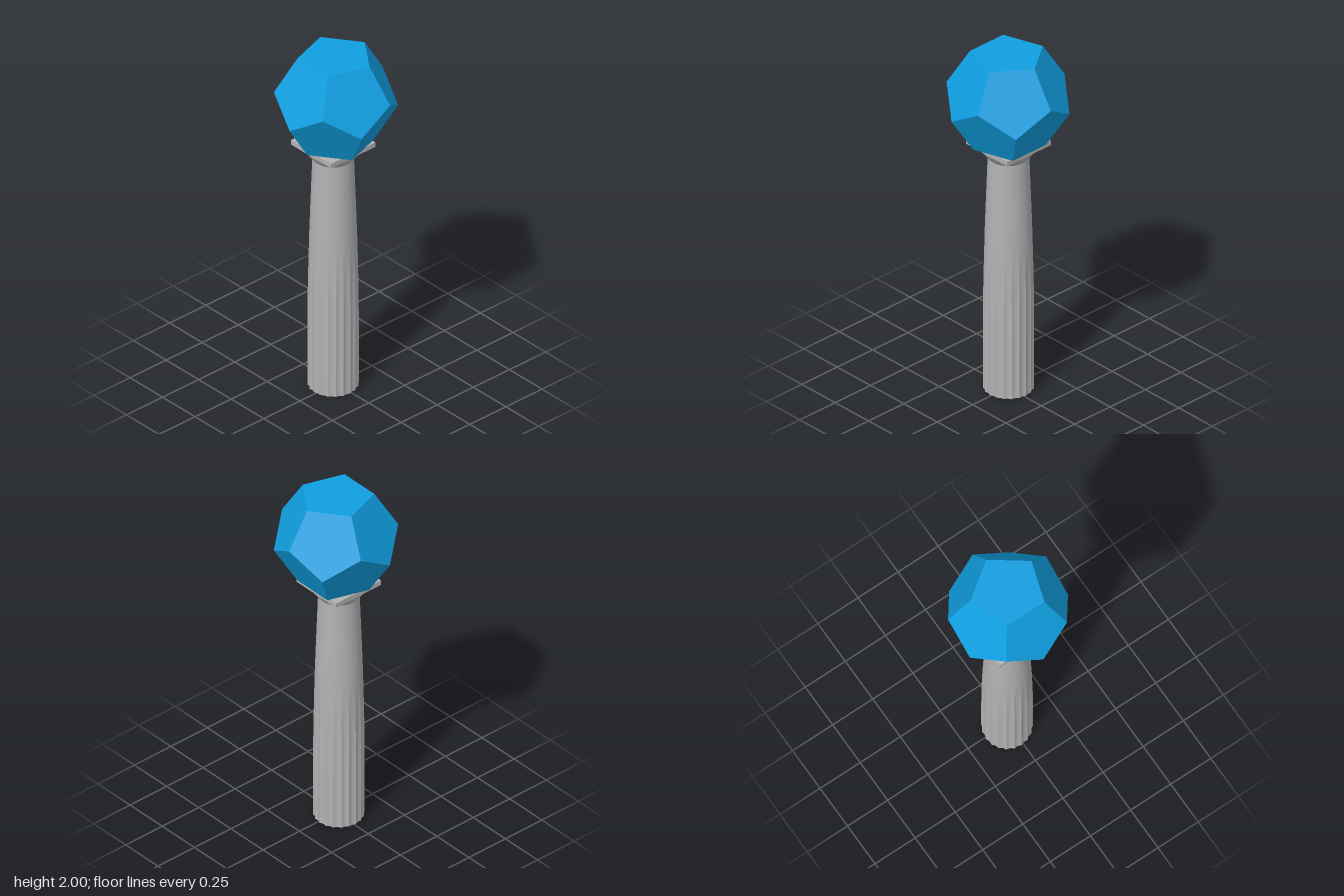
import * as THREE from 'three';
import { toCreasedNormals } from 'three/addons/utils/BufferGeometryUtils.js';

const FLUTES = 20, STEPS = 6;

// Tapered shaft whose shallow flutes fade out partway up
function shaftGeometry() {
  // [height, radius, flute depth]
  const rings = [
    [0, 0.133, 0.007], [0.3, 0.133, 0.007], [0.55, 0.132, 0.006], [0.7, 0.129, 0.004],
    [0.8, 0.127, 0.002], [0.9, 0.124, 0], [1.05, 0.119, 0], [1.22, 0.113, 0], [1.39, 0.107, 0],
  ];
  const n = FLUTES * STEPS;
  const pos = [], idx = [];
  for (const [y, r, depth] of rings) {
    for (let i = 0; i < n; i++) {
      const a = (i / n) * Math.PI * 2;
      const rr = r - depth * Math.sin(((i % STEPS) / STEPS) * Math.PI);
      pos.push(rr * Math.sin(a), y, rr * Math.cos(a));
    }
  }
  for (let j = 0; j < rings.length - 1; j++) {
    for (let i = 0; i < n; i++) {
      const a = j * n + i, b = j * n + ((i + 1) % n);
      idx.push(a, b, b + n, a, b + n, a + n);
    }
  }
  // bottom cap
  const c = pos.length / 3;
  pos.push(0, 0, 0);
  for (let i = 0; i < n; i++) idx.push(c, (i + 1) % n, i);
  const g = new THREE.BufferGeometry();
  g.setAttribute('position', new THREE.Float32BufferAttribute(pos, 3));
  g.setIndex(idx);
  return toCreasedNormals(g, 0.35);
}

export function createModel() {
  const stone = new THREE.MeshStandardMaterial({ color: 0xb2b2b2 });
  stone.name = 'grey stone';
  const blue = new THREE.MeshStandardMaterial({ color: 0x0f9ee0 });
  blue.name = 'blue';

  const model = new THREE.Group();
  model.name = 'columnWithDodecahedron';
  const add = (parent, name, geometry, material) => {
    const m = new THREE.Mesh(geometry, material);
    m.name = name;
    parent.add(m);
    return m;
  };

  // Column, standing slightly off centre
  const column = new THREE.Group();
  column.name = 'column';
  column.position.set(-0.012, 0, 0.009);
  model.add(column);
  add(column, 'shaft', shaftGeometry(), stone);

  // Flared cushion under the slab
  const flare = [[0.107, 1.385], [0.112, 1.393], [0.128, 1.412], [0.144, 1.434], [0.149, 1.444], [0.148, 1.452]]
    .map(([r, y]) => new THREE.Vector2(r, y));
  add(column, 'echinus', new THREE.LatheGeometry(flare, 64), stone);

  // Square slab
  add(column, 'abacus', new THREE.BoxGeometry(0.308, 0.027, 0.308), stone).position.y = 1.4645;

  // Dodecahedron resting on a face, its top pentagon pointing to the back
  const solid = new THREE.DodecahedronGeometry(0.3272);
  solid.rotateX(Math.atan(2 / (1 + Math.sqrt(5))));
  add(model, 'dodecahedron', solid, blue).position.y = 1.74;

  return model;
}
